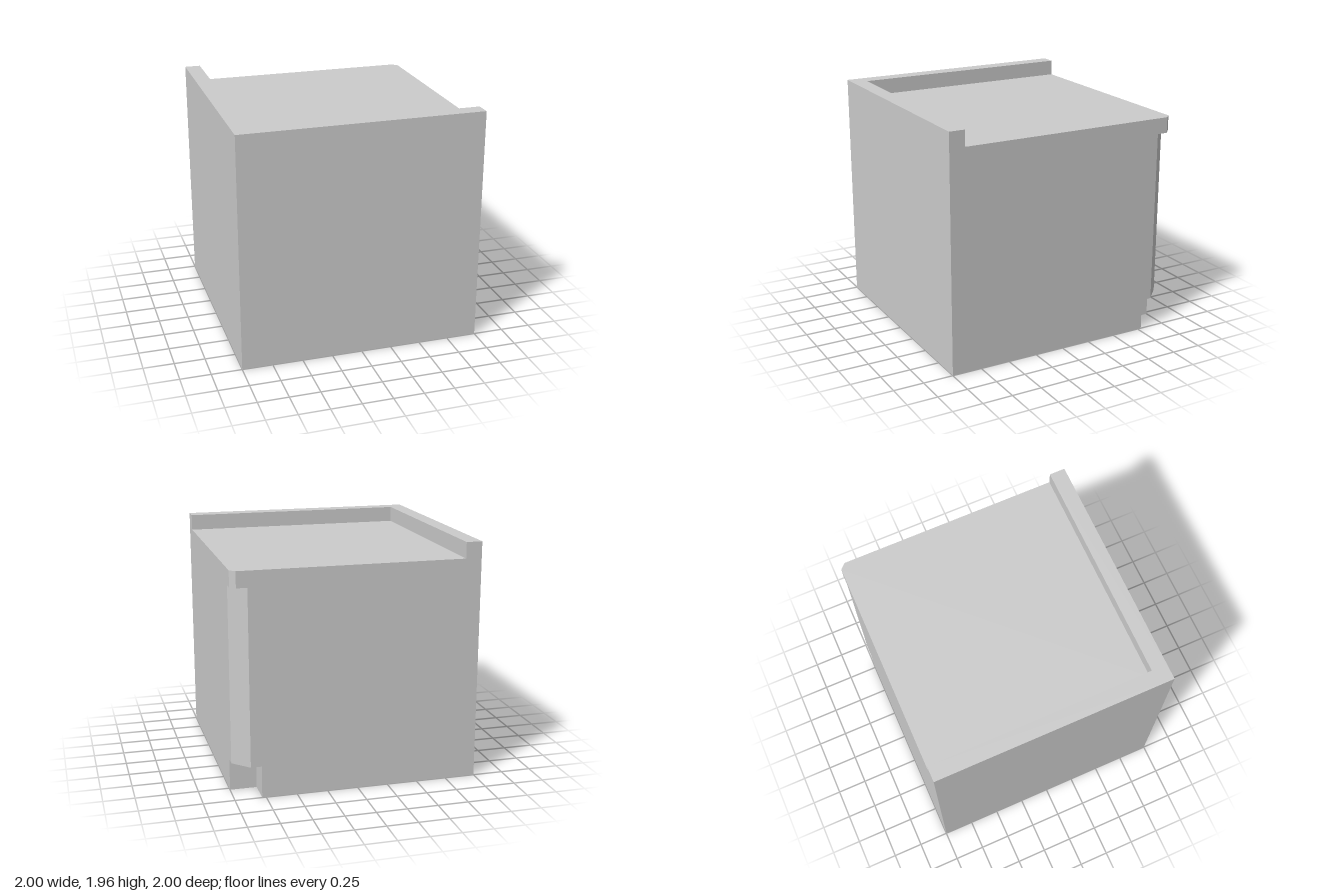
import * as THREE from 'three';

// The block is laid out on a grid of 46 units per side.
const UNIT = 2 / 46;
const H = 23;

export function createModel() {
  const group = new THREE.Group();
  group.name = 'cornerBlock';
  const material = new THREE.MeshStandardMaterial({ color: 0xcccccc, flatShading: true });

  // Extrudes a plan outline (x to the right, back upwards) between two heights.
  function addLayer(name, outline, bottom, top) {
    const shape = new THREE.Shape(outline.map(([x, y]) => new THREE.Vector2(x * UNIT, y * UNIT)));
    const geometry = new THREE.ExtrudeGeometry(shape, { depth: (top - bottom) * UNIT, bevelEnabled: false });
    geometry.rotateX(-Math.PI / 2);
    geometry.translate(0, bottom * UNIT, 0);
    const mesh = new THREE.Mesh(geometry, material);
    mesh.name = name;
    group.add(mesh);
  }

  // Square plan whose back corner is replaced by the given points.
  const plan = (...corner) => [[-H, -H], [H, -H], ...corner, [-H, H]];
  const chamfer = (size) => plan([H, H - size], [H - size, H]);

  // Foot with a square notch in the back corner
  addLayer('notchedBase', plan([H, H - 5], [H - 5, H - 5], [H - 5, H]), 0, 6);

  // Main body with a wide corner chamfer
  addLayer('chamferedBody', chamfer(3), 6, 39);

  // Top slab with a narrow corner chamfer
  addLayer('topSlab', chamfer(1), 39, 42);

  // L-shaped raised rim along the front and one side
  addLayer('raisedRim', [[-H, -H], [H, -H], [H, 3 - H], [3 - H, 3 - H], [3 - H, H], [-H, H]], 42, 45);

  return group;
}
